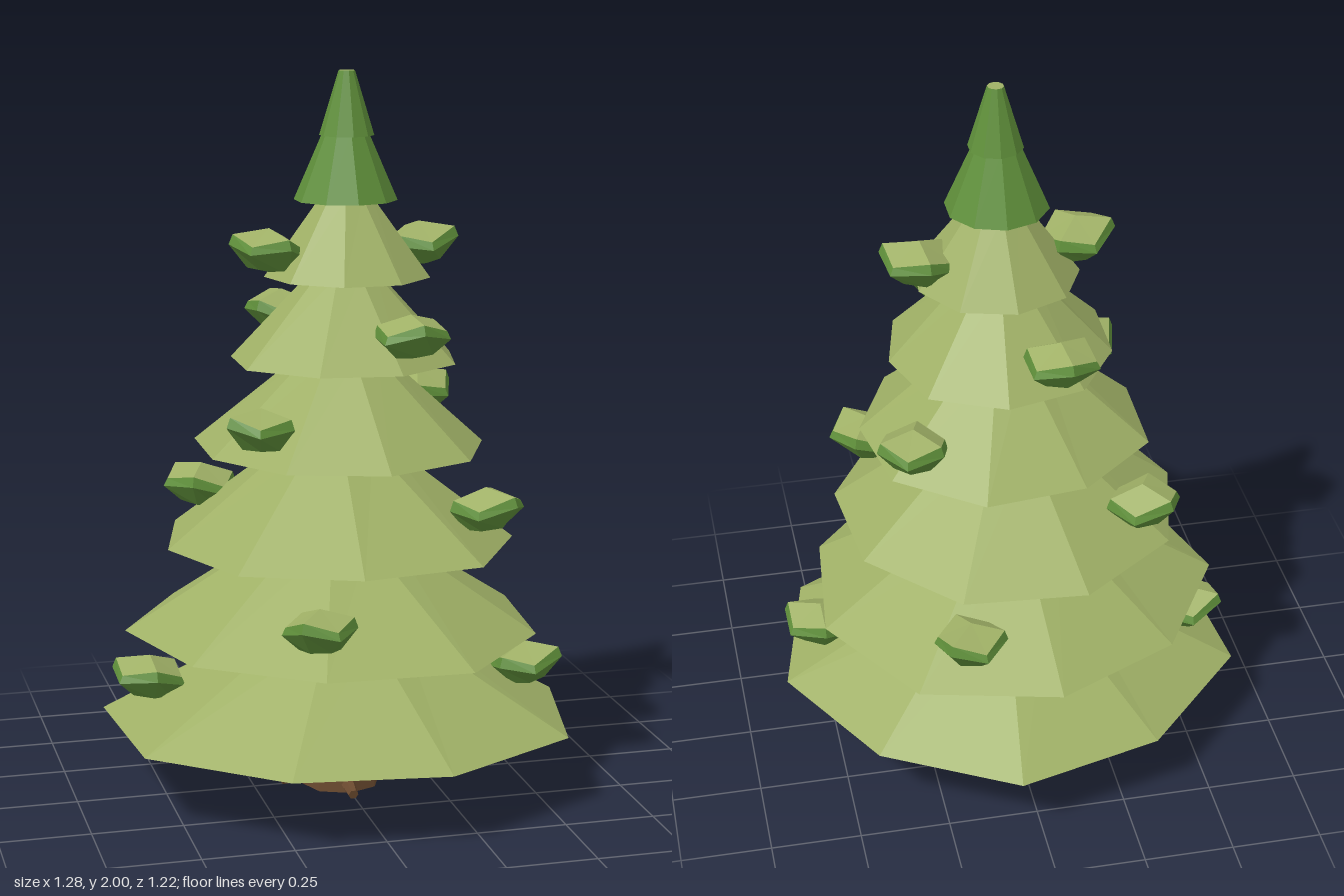
import * as THREE from 'three';

const paint = (color) => new THREE.MeshStandardMaterial({ color, flatShading: true });
const light = paint(0x9fb066);
const dark = paint(0x5f8f3a);
const bark = paint(0x6b4a2f);

// Nine-sided tiers: bottom y, top y, top radius, centre x/z, angle of first corner, corner radii
const TIERS = [
  [0.21, 0.475, 0.18, 0, 0, -4, [0.639, 0.669, 0.625, 0.614, 0.663, 0.67, 0.61, 0.618, 0.596]],
  [0.465, 0.73, 0.155, -0.017, -0.01, 26, [0.57, 0.6, 0.56, 0.56, 0.583, 0.55, 0.56, 0.58, 0.565]],
  [0.72, 0.99, 0.135, -0.017, 0.01, 15, [0.49, 0.517, 0.48, 0.497, 0.48, 0.486, 0.493, 0.497, 0.486]],
  [0.98, 1.235, 0.11, 0, 0.025, 6, [0.39, 0.4, 0.405, 0.4, 0.395, 0.42, 0.4, 0.415, 0.41]],
  [1.225, 1.46, 0.09, 0.005, 0.025, -4, [0.305, 0.32, 0.325, 0.32, 0.33, 0.31, 0.32, 0.32, 0.325]],
  [1.45, 1.665, 0.07, 0.01, 0.028, -14, [0.225, 0.23, 0.235, 0.23, 0.225, 0.225, 0.225, 0.222, 0.225]],
];

// Foliage clusters: x, y, z
const CLUSTERS = [
  [0.52, 0.335, 0.065], [-0.53, 0.335, -0.06],
  [-0.17, 0.585, 0.45], [0.17, 0.585, -0.425],
  [0.34, 0.835, 0.255], [-0.345, 0.835, -0.23],
  [-0.275, 1.08, 0.235], [0.28, 1.08, -0.205],
  [0.12, 1.32, 0.28], [-0.11, 1.32, -0.235],
  [-0.21, 1.53, 0.055], [0.22, 1.53, -0.0],
];

function tierGeometry(height, topRadius, phase, radii) {
  const geo = new THREE.CylinderGeometry(topRadius, 1, height, 9, 1);
  geo.rotateY(THREE.MathUtils.degToRad(10 - phase));
  const pos = geo.attributes.position;
  for (let i = 0; i < pos.count; i++) {
    const x = pos.getX(i), z = pos.getZ(i);
    if (pos.getY(i) > 0 || Math.hypot(x, z) < 0.01) continue;
    const angle = THREE.MathUtils.radToDeg(Math.atan2(z, x));
    const k = (Math.round((angle - phase) / 40) + 18) % 9;
    pos.setX(i, x * radii[k]);
    pos.setZ(i, z * radii[k]);
  }
  geo.computeVertexNormals();
  return geo;
}

// Six-sided shell through rings of [radius, y, zigzag], listed from bottom to top; +x is outward
function shell(rings) {
  const geo = new THREE.LatheGeometry(rings.map(([r, y]) => new THREE.Vector2(r, y)), 6);
  const pos = geo.attributes.position;
  for (let i = 0; i < pos.count; i++) {
    const ring = rings[i % rings.length];
    const spoke = Math.floor(i / rings.length) % 6;
    const x = pos.getX(i);
    pos.setX(i, x * (x > 0 ? 1.12 : 1.02));
    pos.setY(i, pos.getY(i) + (spoke % 2 ? 1 : -1) * ring[2] + x * 0.12);
  }
  geo.rotateY(0.15);
  geo.computeVertexNormals();
  return geo;
}

export function createModel() {
  const tree = new THREE.Group();
  tree.name = 'pineTree';
  const add = (name, geo, material, x, y, z, parent = tree) => {
    const mesh = new THREE.Mesh(geo, material);
    mesh.name = name;
    mesh.position.set(x, y, z);
    parent.add(mesh);
    return mesh;
  };

  // Trunk with four short roots
  add('trunk', new THREE.CylinderGeometry(0.103, 0.113, 0.24, 8), bark, -0.003, 0.125, 0.01);
  const rootGeo = new THREE.CylinderGeometry(0.014, 0.026, 0.11, 6);
  rootGeo.rotateZ(-Math.PI / 2 - 0.2);
  for (let i = 0; i < 4; i++) {
    const a = i * Math.PI / 2;
    const root = add('root', rootGeo, bark, 0.113 * Math.cos(a) - 0.005, 0.027, 0.113 * Math.sin(a));
    root.rotation.y = -a;
  }

  // Skirt tiers, light on the slope and dark underneath
  for (const [y0, y1, topR, x, z, phase, radii] of TIERS) {
    add('foliageTier', tierGeometry(y1 - y0, topR, phase, radii), [light, light, dark], x, (y0 + y1) / 2, z);
  }

  // Dark crown and tip
  add('crown', new THREE.CylinderGeometry(0.06, 0.14, 0.185, 10), dark, 0.007, 1.7475, 0.03);
  add('tip', new THREE.CylinderGeometry(0.022, 0.074, 0.172, 10), [dark, light, dark], 0.01, 1.914, 0.03);

  // Faceted clusters, pointing outward in opposite pairs
  const rim = [0.09, 0.022, 0.013];
  const capGeo = shell([rim, [0, 0.058, 0]]);
  const bodyGeo = shell([[0, -0.06, 0], [0.055, -0.052, 0], [0.1, -0.003, 0.01], rim]);
  for (const [x, y, z] of CLUSTERS) {
    const cluster = new THREE.Group();
    cluster.name = 'foliageCluster';
    cluster.position.set(x, y, z);
    cluster.rotation.y = -Math.atan2(z, x);
    add('clusterTop', capGeo, light, 0, 0, 0, cluster);
    add('clusterBody', bodyGeo, dark, 0, 0, 0, cluster);
    tree.add(cluster);
  }
  return tree;
}
